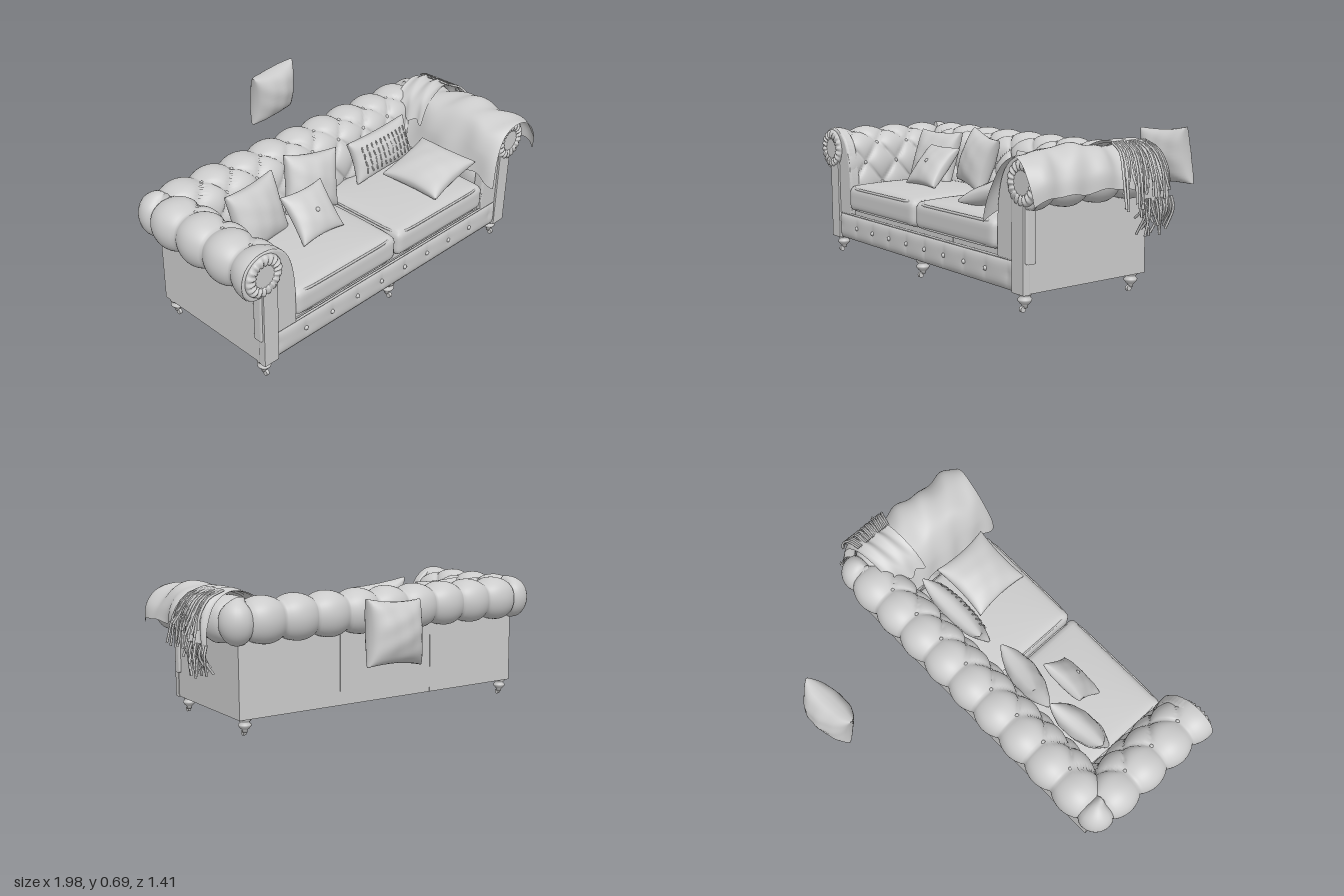
import * as THREE from 'three';
import { mergeVertices } from 'three/addons/utils/BufferGeometryUtils.js';

const grey = new THREE.MeshStandardMaterial({ color: 0xcccccc });
const cloth = new THREE.MeshStandardMaterial({ color: 0xcccccc, side: THREE.DoubleSide });
const V = (x, y, z) => new THREE.Vector3(x, y, z);

// Outer walls of the sofa body, corner pivot depth and tuft spacing
const XL = -0.9, XR = 0.757, ZB = -0.03, ZF = 0.64, D0 = 0.04;
const SP = (XR - XL - 2 * D0) / 9, ROW = 0.11;

let seed = 7;
const rnd = () => (seed = (seed * 16807) % 2147483647) / 2147483647;

function add(parent, name, geo, x = 0, y = 0, z = 0, mat = grey) {
  const m = new THREE.Mesh(geo, mat);
  m.name = name;
  m.position.set(x, y, z);
  parent.add(m);
  return m;
}

function block(parent, name, x0, x1, y0, y1, z0, z1) {
  return add(parent, name, new THREE.BoxGeometry(x1 - x0, y1 - y0, z1 - z0),
    (x0 + x1) / 2, (y0 + y1) / 2, (z0 + z1) / 2);
}

// Smooth grid surface from fn(i, j) -> Vector3
function surface(nu, nv, fn) {
  const pos = [], idx = [];
  for (let i = 0; i <= nu; i++) for (let j = 0; j <= nv; j++) pos.push(...fn(i, j).toArray());
  for (let i = 0; i < nu; i++) for (let j = 0; j < nv; j++) {
    const a = i * (nv + 1) + j, b = a + nv + 1;
    idx.push(a, b, a + 1, b, b + 1, a + 1);
  }
  const g = new THREE.BufferGeometry();
  g.setAttribute('position', new THREE.Float32BufferAttribute(pos, 3));
  g.setIndex(idx);
  g.computeVertexNormals();
  return g;
}

// Move every vertex of a welded geometry by a rule
function reshape(geo, rule) {
  geo.deleteAttribute('normal');
  geo.deleteAttribute('uv');
  const g = mergeVertices(geo), p = g.attributes.position, v = V(0, 0, 0);
  for (let i = 0; i < p.count; i++) {
    rule(v.fromBufferAttribute(p, i));
    p.setXYZ(i, v.x, v.y, v.z);
  }
  g.computeVertexNormals();
  return g;
}

const tube = (pts, r, n = 8, closed = false, sides = 5) =>
  new THREE.TubeGeometry(new THREE.CatmullRomCurve3(pts, closed), n, r, sides, closed);
const curve2 = pts => new THREE.SplineCurve(pts.map(p => new THREE.Vector2(...p)));

// Roll cross-section: depth in from the wall, height
const rollPts = [[0, 0.445], [-0.05, 0.452], [-0.083, 0.49], [-0.094, 0.545], [-0.078, 0.6], [-0.035, 0.634],
  [0.02, 0.642], [0.08, 0.628], [0.13, 0.585], [0.16, 0.52], [0.178, 0.42], [0.182, 0.3], [0.182, 0.22]];
const roll = curve2(rollPts), rollLen = roll.getLength();
let s0 = 0.3;
while (roll.getPointAt(s0).x < D0) s0 += 0.002;

// Point on the tufted surface: leg 0 right arm, 1 corner, 2 back, 3 corner, 4 left arm
function tuftPoint(leg, f, t) {
  const p = roll.getPointAt(t), n = roll.getTangentAt(t);
  const place = d => {
    const m = Math.max(d, D0), r = Math.max(0, D0 - d), q = f * Math.PI / 2;
    if (leg === 0) return [XR - d, THREE.MathUtils.lerp(ZF, ZB + m, f)];
    if (leg === 1) return [XR - m + r * Math.cos(q), ZB + m - r * Math.sin(q)];
    if (leg === 2) return [THREE.MathUtils.lerp(XR - m, XL + m, f), ZB + d];
    if (leg === 3) return [XL + m - r * Math.sin(q), ZB + m - r * Math.cos(q)];
    return [XL + d, THREE.MathUtils.lerp(ZB + m, ZF, f)];
  };
  const [bx, bz] = place(p.x);
  let a = leg === 2 ? (XR - D0 - bx) / SP : (bz - ZB - D0) / SP;
  if (leg % 2) a = p.x > D0 ? (p.x - D0) / SP : f * Math.min(1, (D0 - p.x) / 0.05);
  const b = Math.max(0, (t - s0) * rollLen / ROW);
  const s = Math.abs(Math.sin(Math.PI * (a + b / 2)) * Math.sin(Math.PI * (a - b / 2)));
  const h = 0.032 * (Math.pow(s, 0.35) - 0.6);
  const [x, z] = place(p.x - n.y * h);
  return V(x, p.y + n.x * h, z);
}

function softBox(w, h, d, r, crown) {
  const half = [w / 2, h / 2, d / 2];
  return reshape(new THREE.BoxGeometry(w, h, d, 32, 8, 28), v => {
    const X = 2 * v.x / w, Z = 2 * v.z / d, top = v.y > 0 ? 1 : 0;
    const q = V(...v.toArray().map((c, i) => THREE.MathUtils.clamp(c, r - half[i], half[i] - r)));
    v.sub(q).normalize().multiplyScalar(r).add(q);
    v.y += top * crown * Math.sqrt(Math.max(0, (1 - X * X) * (1 - Z * Z)));
  });
}

function pillow(parent, name, w, h, t, pos, rot) {
  const g = reshape(new THREE.BoxGeometry(2, 2, 2, 22, 22, 1), v => {
    const X = Math.sin(v.x * Math.PI / 2), Y = Math.sin(v.y * Math.PI / 2);
    const puff = Math.pow(Math.max(0, (1 - X * X) * (1 - Y * Y)), 0.42);
    const wrinkle = 1 + 0.05 * Math.sin(7 * X + 4 * Y) * Math.sin(5 * Y - 3 * X + v.z);
    v.set(X * w / 2 * (1 - 0.09 * (1 - Y * Y)), Y * h / 2 * (1 - 0.09 * (1 - X * X)),
      v.z * (0.004 + t / 2 * puff * wrinkle));
  });
  const group = new THREE.Group();
  group.name = name;
  group.position.set(...pos);
  group.rotation.set(...rot);
  add(group, name + 'Cover', g);
  parent.add(group);
  return group;
}

export function createModel() {
  const sofa = new THREE.Group();
  sofa.name = 'sofa';

  // Body: three base and back panels, two side walls
  const w = (XR - XL) / 3;
  for (let i = 0; i < 3; i++) {
    const x0 = XL + i * w + 0.001, x1 = XL + (i + 1) * w - 0.001;
    block(sofa, 'base', x0, x1, 0.085, 0.24, ZB, 0.62);
    block(sofa, 'backPanel', x0, x1, 0.085, 0.46, ZB, ZB + 0.04);
  }
  block(sofa, 'sidePanel', XL, XL + 0.04, 0.085, 0.46, ZB, ZF);
  block(sofa, 'sidePanel', XR - 0.04, XR, 0.085, 0.46, ZB, ZF);

  // Tufted back and arms in one sweep
  const stations = [];
  [56, 12, 140, 12, 56].forEach((n, leg) => {
    for (let i = 0; i <= n; i++) stations.push([leg, i / n]);
  });
  add(sofa, 'tuftedBackAndArms', surface(stations.length - 1, 72, (i, j) => tuftPoint(...stations[i], j / 72)));
  const stud = new THREE.SphereGeometry(0.011, 10, 8);
  for (let row = 0; row < 4; row++) {
    const t = Math.min(0.99, s0 + row * ROW / rollLen), d = roll.getPointAt(t).x, m = Math.max(d, D0);
    for (let k = 0; k <= 9; k++) {
      const a = k + (row % 2) / 2, xs = XR - D0 - a * SP, z = ZB + D0 + a * SP;
      const spots = [];
      if (xs < XR - m && xs > XL + m) spots.push([2, (XR - m - xs) / (XR - XL - 2 * m)]);
      if (z > ZB + m && z < ZF) {
        const f = (z - ZB - m) / (ZF - ZB - m);
        spots.push([4, f], [0, 1 - f]);
      }
      for (const [leg, f] of spots) add(sofa, 'tuftButton', stud, ...tuftPoint(leg, f, t).toArray());
    }
  }

  // Arm fronts: end cap, gathered scroll, keyhole panel
  for (const s of [1, -1]) {
    const arm = new THREE.Group();
    arm.name = 'armFront';
    arm.position.x = s > 0 ? XL : XR;
    const X = d => s * d;
    const cap = new THREE.Shape([...roll.getSpacedPoints(40), new THREE.Vector2(0, 0.22)]
      .map(p => new THREE.Vector2(X(p.x), p.y)));
    add(arm, 'armEndCap', new THREE.ExtrudeGeometry(cap,
      { depth: 0.03, bevelSize: 0.01, bevelThickness: 0.012, bevelSegments: 3 }), 0, 0, 0.6);
    const scroll = reshape(new THREE.TorusGeometry(0.072, 0.026, 10, 96), v => {
      v.z *= 0.7 + 0.2 * Math.sin(18 * Math.atan2(v.y, v.x));
    });
    add(arm, 'armScroll', scroll, X(0.008), 0.545, 0.642);
    const key = new THREE.Shape();
    const path = [[0, 0.085], [0.075, 0.085], [0.075, 0.49]];
    for (let i = 0; i <= 16; i++) {
      const q = -0.65 + i / 16 * (Math.PI + 1.5);
      path.push([0.015 + 0.06 * Math.cos(q), 0.545 + 0.06 * Math.sin(q)]);
    }
    path.push([0, 0.49]);
    key.setFromPoints(path.map(([d, y]) => new THREE.Vector2(X(d), y)));
    add(arm, 'armPost', new THREE.ExtrudeGeometry(key,
      { depth: 0.03, bevelSize: 0.003, bevelThickness: 0.004, bevelSegments: 2 }), 0, 0, 0.618);
    sofa.add(arm);
  }

  // Front rail with piping and buttons
  const mid = (XL + XR) / 2;
  add(sofa, 'frontRail', reshape(new THREE.BoxGeometry(1.51, 0.13, 0.05, 160, 10, 1), v => {
    if (v.z < 0) return;
    const pleat = Math.pow(Math.abs(Math.sin(Math.PI * (v.x + mid + 0.005) / 0.162)), 0.3);
    v.z -= 0.012 * (1 - pleat) * (1 - Math.abs(v.y / 0.065)) + 0.012 * Math.pow(v.y / 0.065, 4);
  }), mid, 0.15, 0.622);
  add(sofa, 'railPiping', tube([V(XL + 0.07, 0.217, 0.637), V(XR - 0.07, 0.217, 0.637)], 0.006));
  for (let i = 0; i < 8; i++) add(sofa, 'railButton', stud, -0.653 + i * 0.162, 0.15, 0.641);

  // Seat cushions with piping
  for (const x of [-0.4, 0.242]) {
    const cw = 0.632, cd = 0.53, hx = cw / 2 - 0.01, hz = cd / 2 - 0.008;
    add(sofa, 'seatCushion', softBox(cw, 0.125, cd, 0.03, 0.03), x, 0.302, 0.388);
    const loop = [];
    for (let i = 0; i < 48; i++) {
      const c = Math.cos(i * Math.PI / 24), n = Math.sin(i * Math.PI / 24);
      loop.push(V(hx * Math.sign(c) * Math.pow(Math.abs(c), 0.2), 0, hz * Math.sign(n) * Math.pow(Math.abs(n), 0.2)));
    }
    for (const y of [0.25, 0.357]) add(sofa, 'cushionPiping', tube(loop, 0.006, 140, true), x, y, 0.388);
  }

  // Turned legs with casters
  const leg = new THREE.LatheGeometry([[0, 0.018], [0.012, 0.018], [0.013, 0.03], [0.02, 0.036], [0.03, 0.048],
    [0.031, 0.056], [0.022, 0.065], [0.026, 0.072], [0.032, 0.078], [0.032, 0.088]].map(p => new THREE.Vector2(...p)), 24);
  const wheel = new THREE.CylinderGeometry(0.013, 0.013, 0.014, 16).rotateZ(Math.PI / 2);
  for (const [x, z] of [[-0.868, 0.605], [-0.08, 0.605], [0.71, 0.605], [-0.868, 0.01], [0.71, 0.01]]) {
    add(sofa, 'leg', leg, x, 0, z);
    add(sofa, 'caster', wheel, x, 0.013, z + 0.012);
  }

  // Loose pillows
  pillow(sofa, 'leftPillow', 0.31, 0.29, 0.13, [-0.55, 0.5, 0.225], [-0.35, 0.12, 0.04]);
  pillow(sofa, 'middlePillow', 0.29, 0.28, 0.13, [-0.195, 0.515, 0.205], [-0.3, -0.15, -0.2]);
  const small = pillow(sofa, 'smallPillow', 0.25, 0.24, 0.09, [-0.35, 0.485, 0.37], [-0.7, 0, 0]);
  add(small, 'pillowButton', stud, 0, 0, 0.046);
  const lumbar = pillow(sofa, 'lumbarPillow', 0.41, 0.21, 0.11, [0.295, 0.495, 0.2], [-0.35, 0, 0.04]);
  for (let r = 0; r < 4; r++) for (let c = 0; c < 11; c++) {
    const x = (c - 5) * 0.03, y = (r - 1.5) * 0.036;
    const z = 0.055 * Math.pow((1 - (x / 0.205) ** 2) * (1 - (y / 0.105) ** 2), 0.42);
    add(lumbar, 'pillowTassel', new THREE.CapsuleGeometry(0.004, 0.022, 2, 6), x, y, z + 0.003).rotation.z = rnd() * 0.5 - 0.25;
  }
  pillow(sofa, 'lyingPillow', 0.32, 0.32, 0.11, [0.38, 0.452, 0.445], [-1.5, -0.24, 0.06]);
  pillow(sofa, 'loosePillow', 0.3, 0.29, 0.17, [0.31, 0.53, -0.61], [0.12, 0.08, 0.06]);

  // Throw blanket folded over the left arm
  const drape = curve2([[-0.15, 0.49], [-0.138, 0.56], [-0.09, 0.63], [-0.02, 0.665], [0.06, 0.658],
    [0.13, 0.62], [0.18, 0.53], [0.213, 0.4]]);
  add(sofa, 'blanket', surface(48, 48, (i, j) => {
    const u = i / 48, t = j / 48, p = drape.getPointAt(t);
    const fold = 0.008 * Math.sin(11 * u + 5 * t) + 0.005 * Math.sin(23 * u - 9 * t);
    const end = Math.pow(1 - u, 10);
    return V(XR - p.x * (1 - 0.12 * end) + fold, p.y + fold + 0.015 * Math.sin(Math.PI * u) - 0.025 * end,
      0.695 - 0.56 * u + 0.012 * Math.sin(8 * t));
  }), 0, 0, 0, cloth);
  // Trailing end of the throw, hanging outside the back corner
  const tail = curve2([[-0.155, 0.43], [-0.15, 0.53], [-0.11, 0.63], [-0.03, 0.682], [0.06, 0.675], [0.14, 0.63], [0.19, 0.55]]);
  add(sofa, 'blanketTail', surface(24, 40, (i, j) => {
    const u = i / 24, t = j / 40, p = tail.getPointAt(t);
    const fold = 0.009 * Math.sin(16 * u + 4 * t);
    return V(XR - p.x + fold, p.y + fold, 0.2 - 0.2 * u + 0.06 * (t - 0.4));
  }), 0, 0, 0, cloth);

  // Fringe: one row below the tail, one across the top of the roll
  for (let i = 0; i < 22; i++) {
    const z = -0.03 + i * 0.009, x = XR + 0.15 + rnd() * 0.012, e = rnd();
    add(sofa, 'fringe', tube([V(x, 0.45, z), V(x + 0.012, 0.4, z + rnd() * 0.02 - 0.01),
      V(x - 0.05 + 0.08 * e, 0.29 + 0.09 * rnd(), z + rnd() * 0.06 - 0.03)], 0.006));
  }
  for (let i = 0; i < 22; i++) {
    const z = 0.02 + i * 0.009, k = rnd(), dz = 0.09 * (i / 21 - 0.3) + 0.03 * rnd();
    add(sofa, 'fringe', tube([V(XR + 0.04, 0.685, z), V(XR + 0.12, 0.65, z + dz * 0.4),
      V(XR + 0.17, 0.57, z + dz * 0.8), V(XR + 0.165 + 0.045 * k, 0.41 + 0.12 * rnd(), z + dz)], 0.006));
  }
  return sofa;
}
